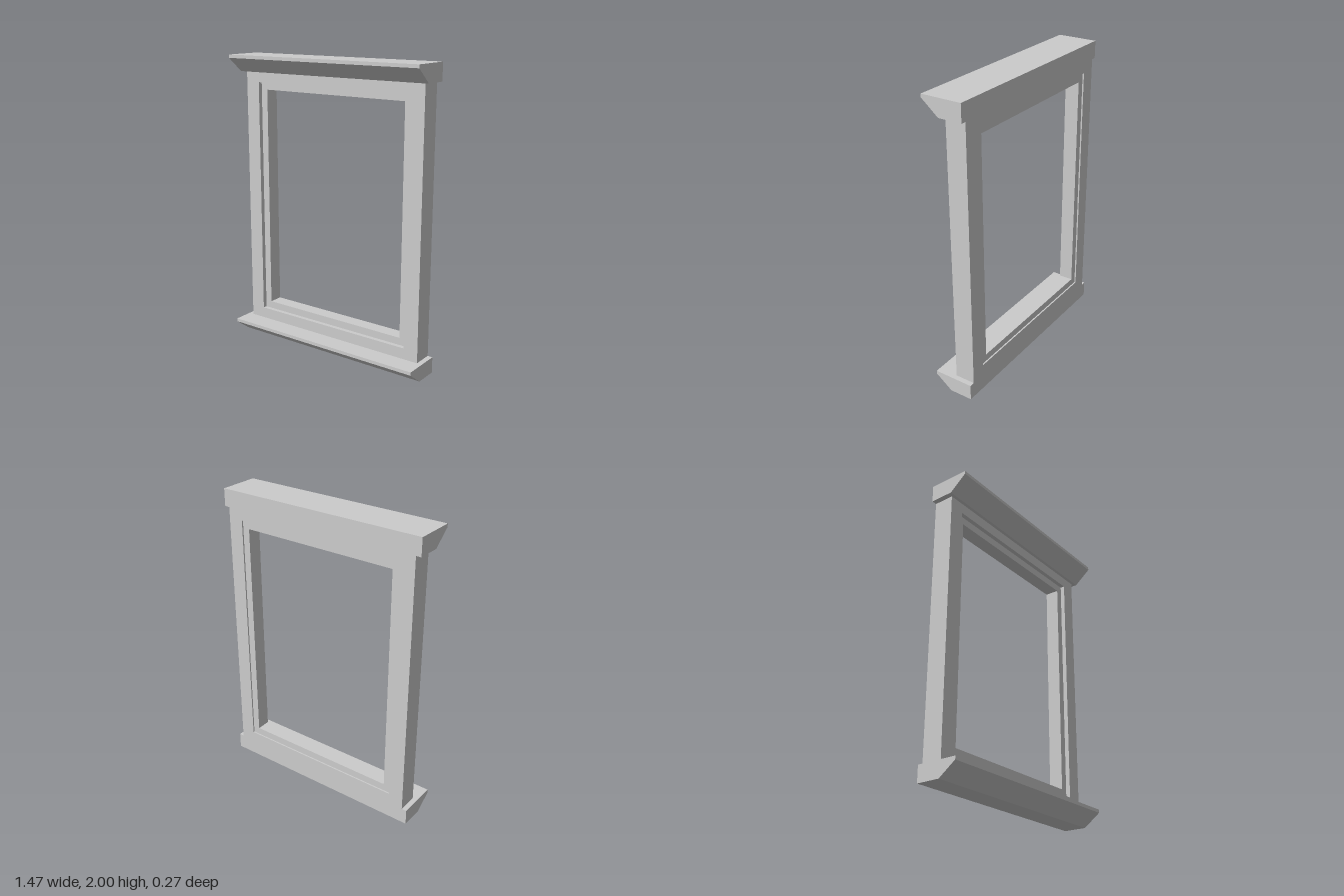
import * as THREE from 'three';

const material = new THREE.MeshStandardMaterial({ color: 0xcccccc });
const BACK = -0.137;

// Rectangle path given by half width and vertical extent
function rect(path, hw, y0, y1) {
  path.moveTo(-hw, y0);
  path.lineTo(hw, y0);
  path.lineTo(hw, y1);
  path.lineTo(-hw, y1);
  path.closePath();
  return path;
}

// Rectangular ring extruded from z0 to z1; outer and inner are [halfWidth, y0, y1]
function ring(name, outer, inner, z0, z1) {
  const shape = rect(new THREE.Shape(), ...outer);
  shape.holes.push(rect(new THREE.Path(), ...inner));
  const geometry = new THREE.ExtrudeGeometry(shape, { depth: z1 - z0, bevelEnabled: false });
  geometry.translate(0, 0, z0);
  const mesh = new THREE.Mesh(geometry, material);
  mesh.name = name;
  return mesh;
}

// Ledge with a thin front lip and a sloped underside, swept along x
function ledge(name, y0, y1) {
  const halfWidth = 0.733;
  const lip = 0.022;
  // Shape x becomes -z after the turn about y
  const profile = new THREE.Shape([
    [-BACK, y0], [-BACK, y1], [BACK, y1], [BACK, y1 - lip], [-0.022, y0],
  ].map(([x, y]) => new THREE.Vector2(x, y)));
  const geometry = new THREE.ExtrudeGeometry(profile, { depth: 2 * halfWidth, bevelEnabled: false });
  geometry.translate(0, 0, -halfWidth);
  geometry.rotateY(Math.PI / 2);
  const mesh = new THREE.Mesh(geometry, material);
  mesh.name = name;
  return mesh;
}

export function createModel() {
  const group = new THREE.Group();
  group.name = 'windowFrame';

  const casing = [0.698, 0.108, 1.883];
  const rebate = [0.594, 0.183, 1.814];
  const opening = [0.545, 0.233, 1.764];

  group.add(
    ring('outerCasing', casing, rebate, BACK, 0),
    // Sash sits slightly behind the casing on both faces
    ring('innerSash', rebate, opening, BACK + 0.01, -0.03),
    ledge('topCornice', 1.883, 2),
    ledge('bottomSill', 0, 0.108),
  );
  return group;
}
